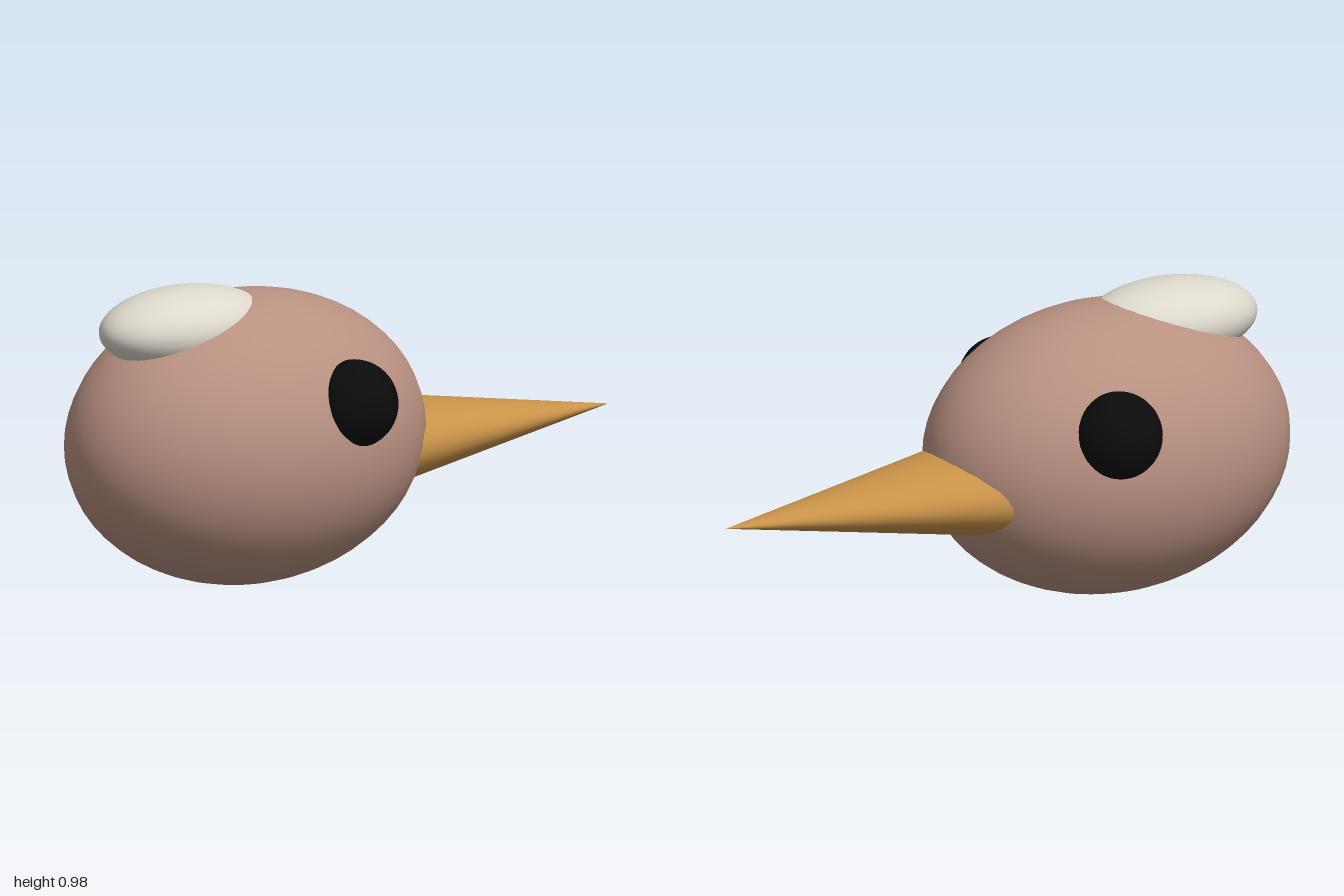
import * as THREE from 'three';

const paint = (name, color) => {
  const m = new THREE.MeshStandardMaterial({ color });
  m.name = name;
  return m;
};

export function createModel() {
  const brown = paint('dusty brown', 0xb99181);
  const cream = paint('cream', 0xddd8cc);
  const black = paint('black', 0x0b0b0b);
  const ochre = paint('ochre', 0xc99349);

  const model = new THREE.Group();
  model.name = 'birdHead';

  // Ellipsoid from a centre and three radii
  const ellipsoid = (name, material, centre, radii) => {
    const geometry = new THREE.SphereGeometry(1, 40, 28).scale(...radii);
    const mesh = new THREE.Mesh(geometry, material);
    mesh.name = name;
    mesh.position.set(...centre);
    model.add(mesh);
  };

  ellipsoid('head', brown, [-0.382, 0.469, 0], [0.618, 0.467, 0.444]);
  ellipsoid('crest', cream, [-0.612, 0.85, 0], [0.3, 0.128, 0.188]);

  // Mirrored eyes
  for (const side of [1, -1]) {
    ellipsoid(side > 0 ? 'leftEye' : 'rightEye', black, [-0.215, 0.615, 0.36 * side], [0.14, 0.14, 0.14]);
  }

  // Flattened cone, pointing along +x, with its base sunk into the head
  const cone = new THREE.ConeGeometry(1, 1, 32, 4)
    .rotateZ(-Math.PI / 2)
    .scale(1, 0.157, 0.293);
  const beak = new THREE.Mesh(cone, ochre);
  beak.name = 'beak';
  beak.position.set(0.5, 0.4, 0);
  model.add(beak);

  return model;
}
